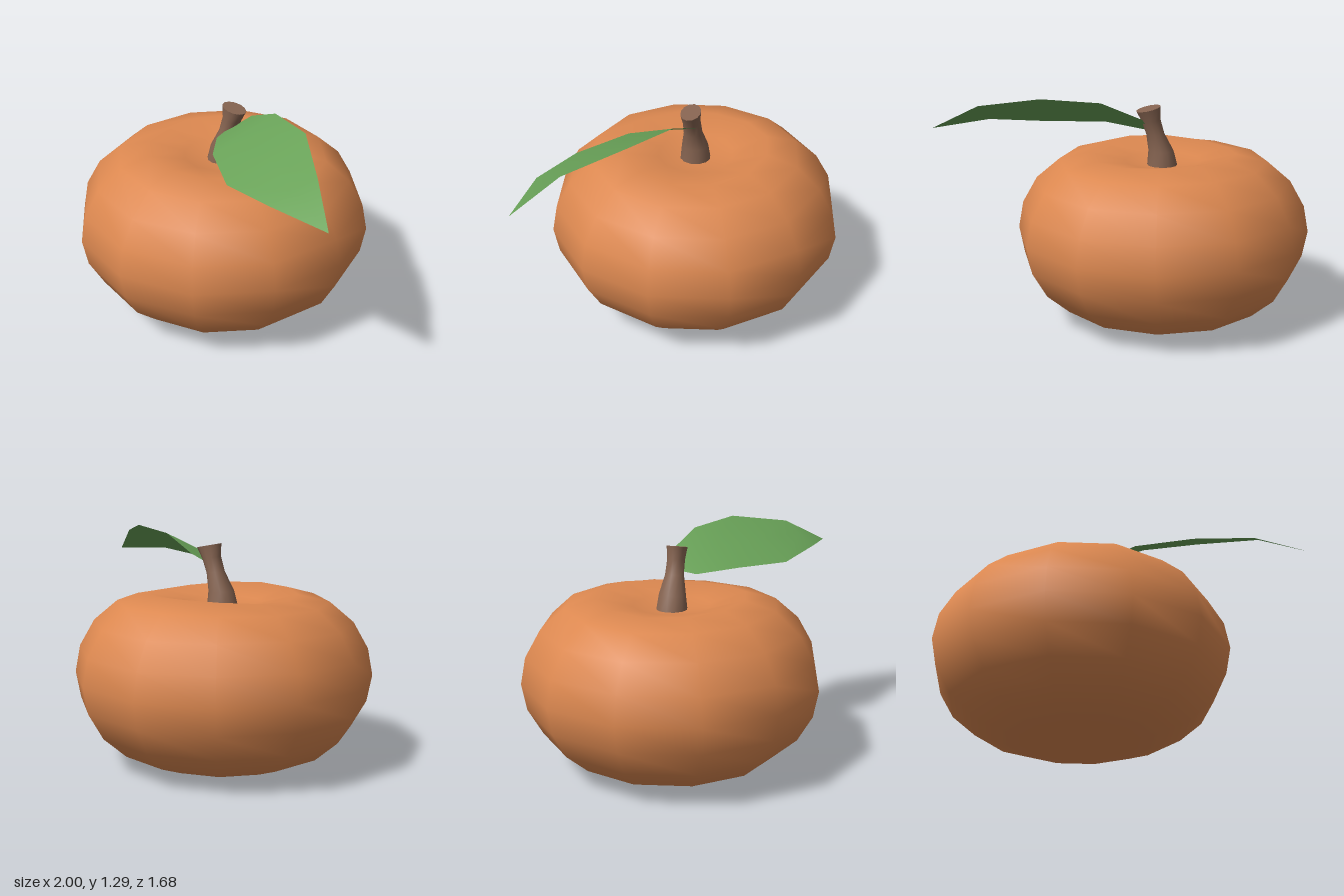
import * as THREE from 'three';
import { mergeVertices } from 'three/addons/utils/BufferGeometryUtils.js';

const orange = new THREE.MeshStandardMaterial({ color: 0xdc8850 });
orange.name = 'orangeSkin';
const brown = new THREE.MeshStandardMaterial({ color: 0x866451 });
brown.name = 'brownStem';
const green = new THREE.MeshStandardMaterial({ color: 0x69a258, side: THREE.DoubleSide });
green.name = 'greenLeaf';

const CENTRE_X = -0.164;

// Move every vertex by a rule, weld seams and rebuild smooth normals
function reshape(geometry, rule) {
  geometry.deleteAttribute('uv');
  geometry.deleteAttribute('normal');
  const pos = geometry.attributes.position;
  const v = new THREE.Vector3();
  for (let i = 0; i < pos.count; i++) {
    rule(v.fromBufferAttribute(pos, i));
    pos.setXYZ(i, v.x, v.y, v.z);
  }
  const welded = mergeVertices(geometry, 1e-4);
  welded.computeVertexNormals();
  return welded;
}

function addMesh(group, name, geometry, material) {
  const mesh = new THREE.Mesh(geometry, material);
  mesh.name = name;
  group.add(mesh);
}

// Squashed sphere, ring heights from top to bottom, with a dimple at the stem
function fruitGeometry() {
  const heights = [0.87, 0.91, 0.958, 0.915, 0.8, 0.652, 0.5, 0.35, 0.204, 0.088, 0.022, 0, 0.01];
  return reshape(new THREE.SphereGeometry(1, 12, 12), (v) => {
    const ring = Math.round(Math.acos(THREE.MathUtils.clamp(v.y, -1, 1)) / Math.PI * 12);
    const angle = Math.atan2(v.z, v.x);
    // Slight saddle along the upper rim
    const wave = ring === 2 ? 0.013 : ring === 3 ? 0.005 : 0;
    v.set(v.x * 0.838 + CENTRE_X, heights[ring] - wave * Math.cos(2 * angle), v.z * 0.838);
  });
}

// Stem sections: x, y, radius in x, radius in z, downward tilt towards +x
const stemRings = [
  [CENTRE_X, 0.85, 0.092, 0.092, 0],
  [-0.152, 0.97, 0.07, 0.076, 0],
  [-0.115, 1.07, 0.05, 0.053, 0.1],
  [-0.088, 1.15, 0.053, 0.049, 0.18],
  [-0.071, 1.217, 0.072, 0.056, 0.2],
];
function bendStem(v) {
  const [x, y, rx, rz, tilt] = stemRings[Math.round(v.y)];
  v.set(x + v.x * rx, y - v.x * rx * tilt, v.z * rz);
}

// Leaf built as a grid between its two edges
function leafGeometry() {
  const upper = [[-0.07, 1.11, 0.01], [0, 1.17, -0.065], [0.22, 1.27, 0.005],
    [0.52, 1.295, 0.14], [0.79, 1.235, 0.4], [1, 1.095, 0.59]];
  const lower = [[-0.1, 1.085, 0.05], [-0.095, 1.075, 0.12], [0.05, 1.095, 0.32],
    [0.32, 1.085, 0.52], [0.66, 1.115, 0.595], [1, 1.095, 0.59]];
  const positions = [];
  const index = [];
  upper.forEach((u, i) => {
    for (let j = 0; j < 3; j++) {
      for (let k = 0; k < 3; k++) positions.push(u[k] + (lower[i][k] - u[k]) * j / 2);
    }
  });
  for (let i = 0; i < 5; i++) {
    for (let j = 0; j < 2; j++) {
      const a = i * 3 + j;
      index.push(a, a + 1, a + 3);
      if (i < 4) index.push(a + 1, a + 4, a + 3);
    }
  }
  const g = new THREE.BufferGeometry();
  g.setAttribute('position', new THREE.Float32BufferAttribute(positions, 3));
  g.setIndex(index);
  g.computeVertexNormals();
  return g;
}

export function createModel() {
  const group = new THREE.Group();
  group.name = 'fruit';
  addMesh(group, 'fruitBody', fruitGeometry(), orange);

  const tube = new THREE.CylinderGeometry(1, 1, 4, 12, 4, true).translate(0, 2, 0);
  addMesh(group, 'stem', reshape(tube, bendStem), brown);
  const cap = new THREE.CircleGeometry(1, 12).rotateX(-Math.PI / 2).translate(0, 4, 0);
  addMesh(group, 'stemTop', reshape(cap, bendStem), brown);

  addMesh(group, 'leaf', leafGeometry(), green);
  return group;
}
